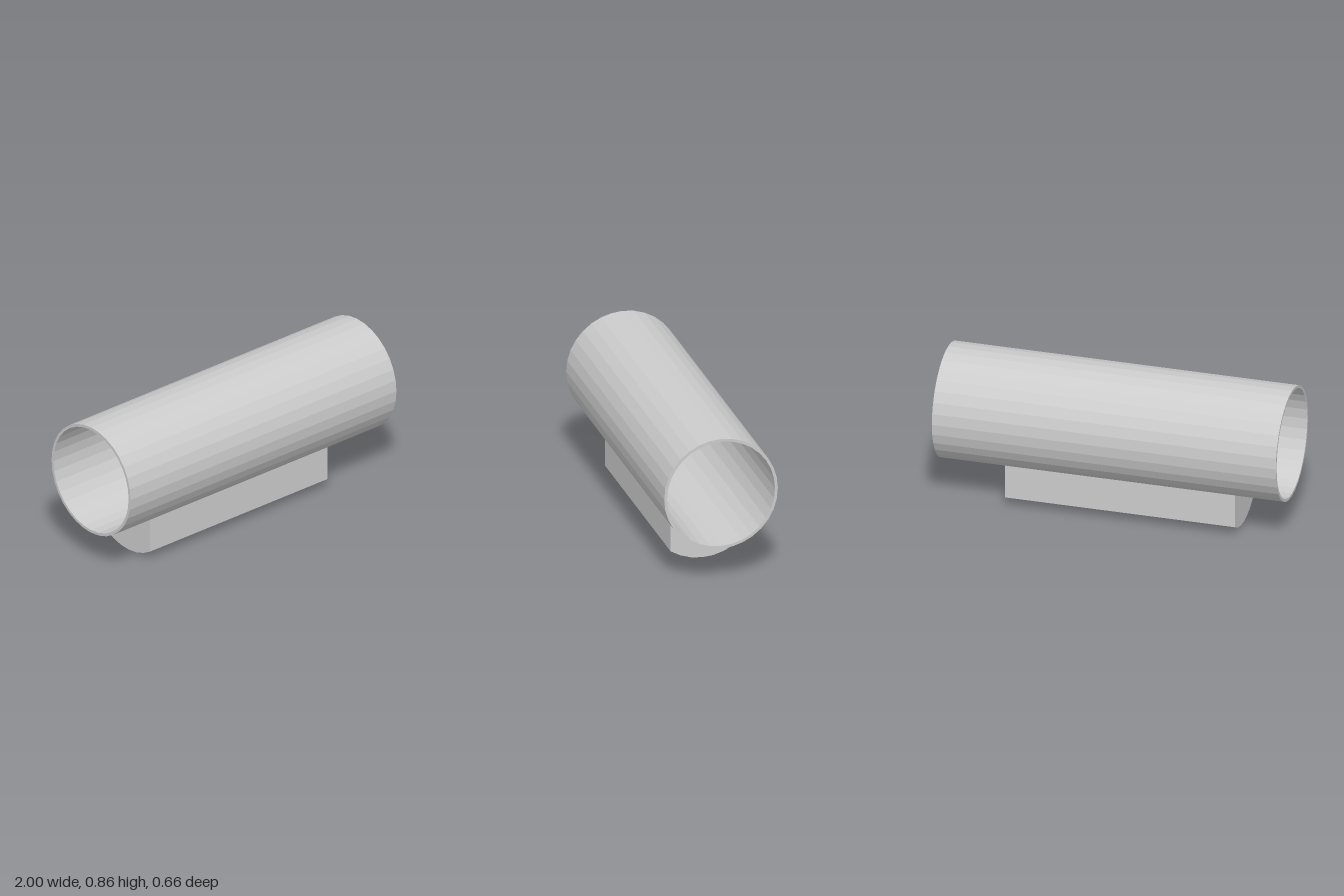
import * as THREE from 'three';

const OUTER = 0.3305, INNER = 0.314, AXIS_Y = 0.5305, SIDES = 32;

// Points on a faceted circle about the tube axis, from facet corner a to b
function arc(radius, a, b, drop = 0) {
  const points = [];
  for (let i = a; i <= b; i++) {
    const t = (i / SIDES) * Math.PI * 2 - Math.PI / 2;
    points.push(new THREE.Vector2(Math.cos(t) * radius, AXIS_Y - drop + Math.sin(t) * radius));
  }
  return points;
}

// Extrudes a cross-section along x
function alongX(name, shape, x0, x1, material) {
  const geometry = new THREE.ExtrudeGeometry(shape, { depth: x1 - x0, bevelEnabled: false });
  geometry.rotateY(Math.PI / 2).translate(x0, 0, 0);
  const mesh = new THREE.Mesh(geometry, material);
  mesh.name = name;
  return mesh;
}

export function createModel() {
  const group = new THREE.Group();
  group.name = 'tubeOnSaddle';
  const material = new THREE.MeshStandardMaterial({ color: 0xcccccc, flatShading: true });

  // Thin-walled open tube
  const ring = new THREE.Shape(arc(OUTER, 0, SIDES - 1));
  ring.holes.push(new THREE.Path(arc(INNER, 0, SIDES - 1).reverse()));
  group.add(alongX('tube', ring, -1, 1, material));

  // Saddle block: top hugs the tube, underside repeats the same curve lower down
  const section = [...arc(OUTER, -3, 3, 0.2), ...arc(OUTER, -3, 3).reverse()];
  group.add(alongX('saddle', new THREE.Shape(section), -0.72, 0.615, material));

  return group;
}
